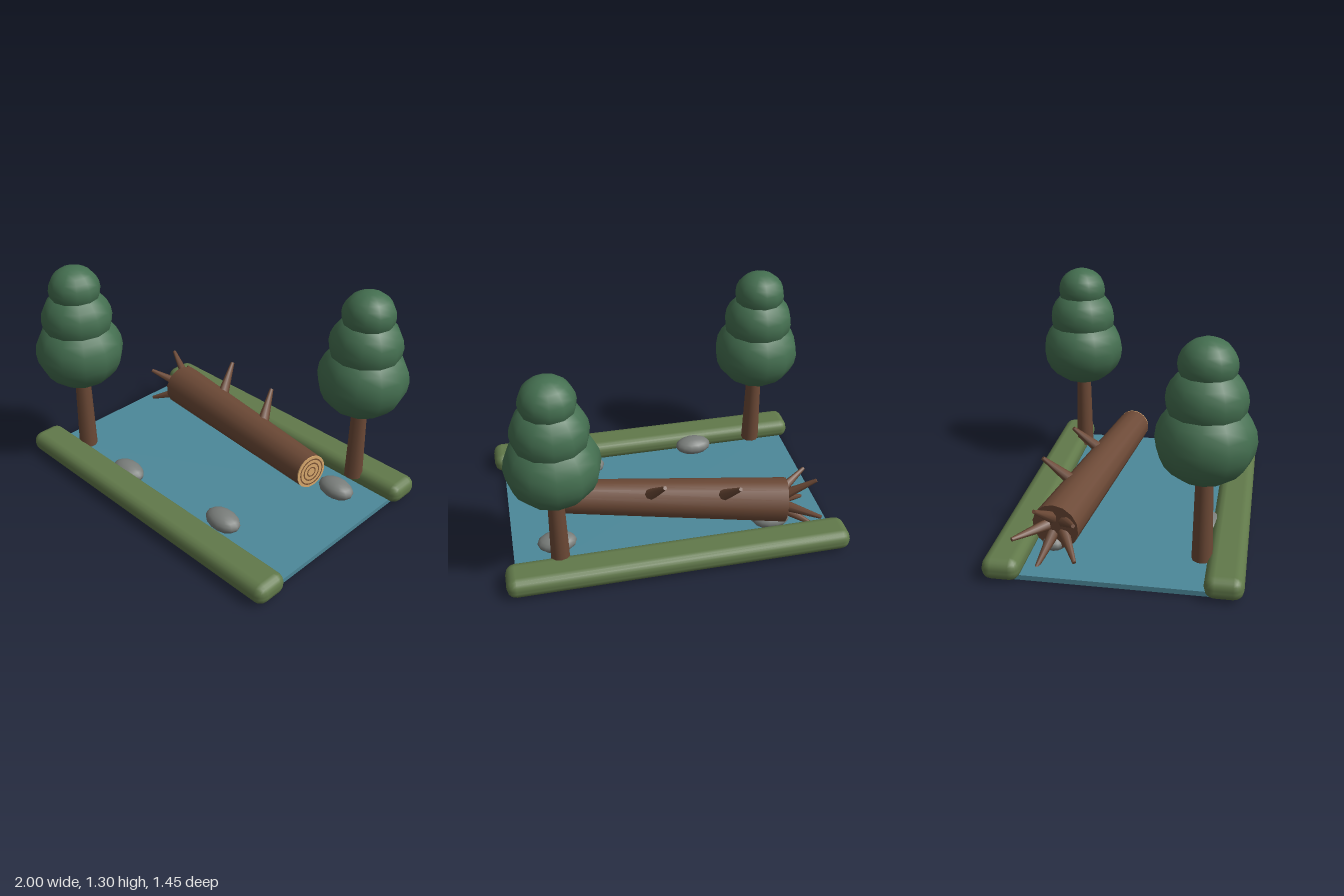
import * as THREE from 'three';
import { RoundedBoxGeometry } from 'three/addons/geometries/RoundedBoxGeometry.js';

const material = (name, color) => {
  const m = new THREE.MeshStandardMaterial({ color });
  m.name = name;
  return m;
};

export function createModel() {
  const model = new THREE.Group();
  model.name = 'riverScene';
  const water = material('water blue', 0x4c8899);
  const grass = material('bank green', 0x61794a);
  const leaf = material('leaf green', 0x446f50);
  const bark = material('bark brown', 0x6c4936);
  const wood = material('cut wood tan', 0xd6a76c);
  const grain = material('ring brown', 0x7a5334);
  const stone = material('stone grey', 0x7a7e7b);

  const add = (name, geometry, mat, x, y, z, parent = model) => {
    const mesh = new THREE.Mesh(geometry, mat);
    mesh.name = name;
    mesh.position.set(x, y, z);
    parent.add(mesh);
    return mesh;
  };
  const up = new THREE.Vector3(0, 1, 0);
  // Tapered round limb running from point a to point b
  const limb = (name, a, b, ra, rb, sides) => {
    const dir = b.clone().sub(a);
    const mid = a.clone().add(b).multiplyScalar(0.5);
    const mesh = add(name, new THREE.CylinderGeometry(rb, ra, dir.length(), sides), bark, mid.x, mid.y, mid.z);
    mesh.quaternion.setFromUnitVectors(up, dir.normalize());
    return mesh;
  };
  const v = (x, y, z) => new THREE.Vector3(x, y, z);

  // River and its two banks
  add('river', new THREE.BoxGeometry(1.885, 0.028, 1.12), water, 0, 0.014, 0.01);
  for (const [name, z] of [['frontBank', 0.597], ['backBank', -0.562]]) {
    add(name, new RoundedBoxGeometry(2, 0.123, 0.205, 2, 0.055), grass, 0, 0.0665, z);
  }

  // Trees: trunk and three stacked crowns
  const crowns = [
    // y, horizontal radius, vertical radius
    [0.768, 0.26, 0.234],
    [0.977, 0.209, 0.188],
    [1.158, 0.151, 0.138],
  ];
  for (const [name, x, z] of [['frontTree', -0.714, 0.465], ['backTree', 0.682, -0.466]]) {
    const tree = new THREE.Group();
    tree.name = name;
    tree.position.set(x, 0, z);
    model.add(tree);
    add('trunk', new THREE.CylinderGeometry(0.045, 0.056, 0.52, 10), bark, 0, 0.343, 0, tree);
    for (const [y, r, h] of crowns) {
      add('crown', new THREE.SphereGeometry(1, 12, 12), leaf, 0, y, 0, tree).scale.set(r, h, r);
    }
  }

  // Fallen log, thicker at the root end
  const rootEnd = v(-0.685, 0.182, -0.334);
  const cutEnd = v(0.626, 0.257, -0.118);
  const log = limb('fallenLog', rootEnd, cutEnd, 0.134, 0.101, 14);

  // Sawn face with growth rings
  const half = rootEnd.distanceTo(cutEnd) / 2;
  add('cutFace', new THREE.CylinderGeometry(0.1, 0.1, 0.006, 20), wood, 0, half + 0.003, 0, log);
  for (const r of [0.028, 0.054, 0.08]) {
    const ring = add('growthRing', new THREE.RingGeometry(r - 0.004, r + 0.004, 28), grain, 0, half + 0.0075, 0, log);
    ring.rotation.x = -Math.PI / 2;
  }

  // Broken branches
  limb('branch', v(-0.3, 0.28, -0.335), v(-0.357, 0.43, -0.48), 0.036, 0.012, 8);
  limb('branch', v(0.125, 0.295, -0.258), v(0.063, 0.445, -0.398), 0.036, 0.012, 8);

  // Five roots fanning out of the thick end
  for (let i = 0; i < 5; i++) {
    const t = (i / 5) * Math.PI * 2;
    const dy = Math.sin(t), dz = -Math.cos(t);
    const a = v(-0.665, 0.182 + dy * 0.05, -0.334 + dz * 0.05);
    const b = v(-0.845, Math.max(0.02, 0.178 + dy * 0.185), -0.345 + dz * 0.185);
    limb('root', a, b, 0.034, 0.011, 7);
  }

  // River stones
  for (const [x, z] of [[0.417, 0.385], [-0.318, 0.468], [0.685, -0.297], [-0.6, -0.35]]) {
    add('stone', new THREE.SphereGeometry(1, 14, 10), stone, x, 0.07, z).scale.set(0.116, 0.056, 0.077);
  }

  return model;
}
